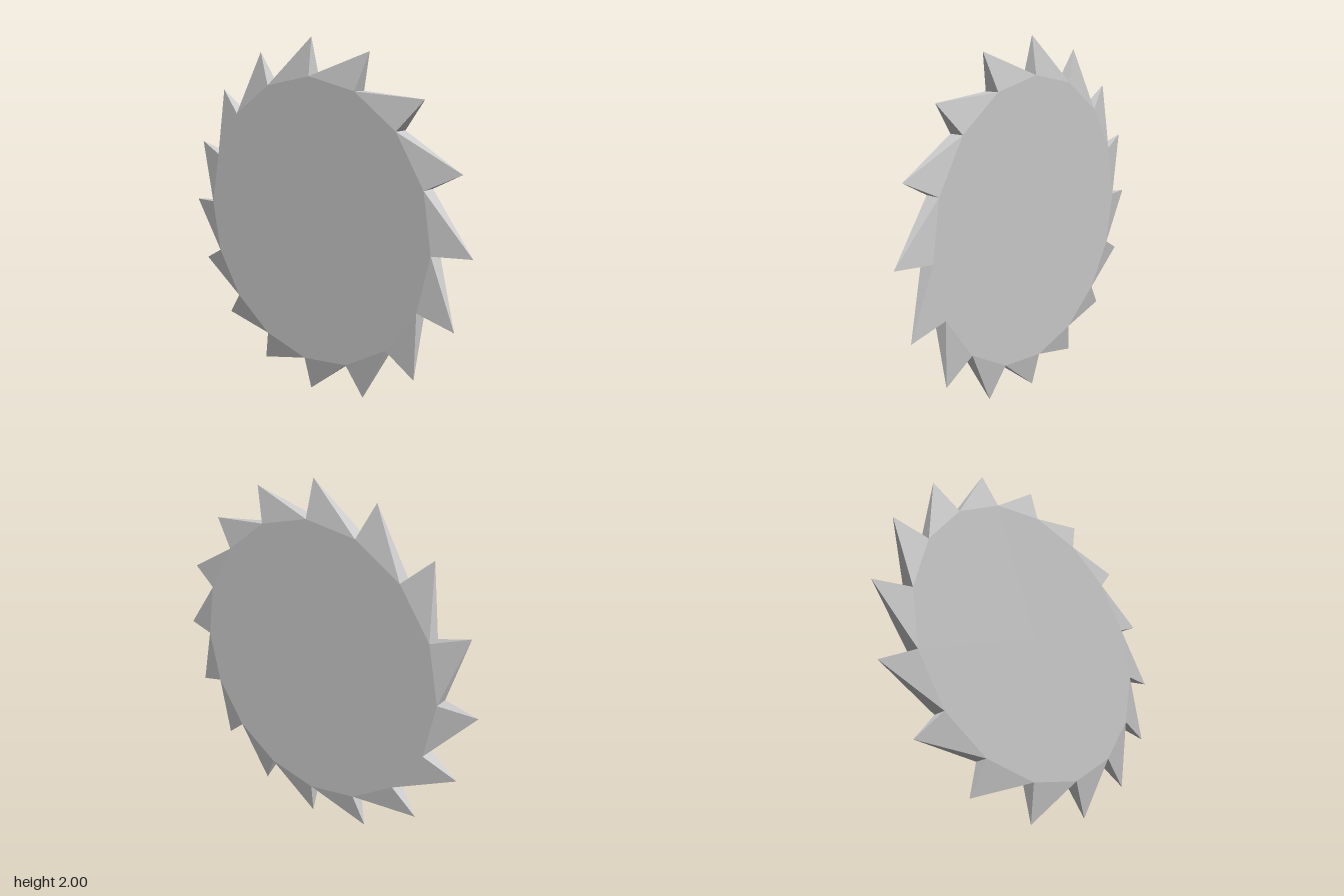
import * as THREE from 'three';

const TEETH = 16;
const ROOT = 0.8;   // radius at the tooth roots
const TIP = 1;      // radius at the tooth tips
const HALF = 0.04;  // half the blade thickness
const STEP = (Math.PI * 2) / TEETH;
const LEAD = THREE.MathUtils.degToRad(-1.2); // root angle just ahead of each tip

// One raked tooth: a four-sided pyramid on the rim whose apex is the tip on the mid plane.
function toothGeometry() {
  const at = (angle, z) => [ROOT * Math.cos(angle), ROOT * Math.sin(angle), z];
  const leadFront = at(LEAD, HALF), leadBack = at(LEAD, -HALF);
  const trailFront = at(LEAD + STEP, HALF), trailBack = at(LEAD + STEP, -HALF);
  const tip = [TIP, 0, 0];
  const faces = [
    leadFront, tip, trailFront,
    trailBack, tip, leadBack,
    leadFront, leadBack, tip,
    trailBack, trailFront, tip,
  ];
  const geometry = new THREE.BufferGeometry();
  geometry.setAttribute('position', new THREE.Float32BufferAttribute(faces.flat(), 3));
  geometry.computeVertexNormals();
  return geometry;
}

export function createModel() {
  const model = new THREE.Group();
  model.name = 'sawBlade';
  const material = new THREE.MeshStandardMaterial({ color: 0xcccccc, flatShading: true });

  // Flat sixteen-sided faces of the disc
  const front = new THREE.Mesh(new THREE.CircleGeometry(ROOT, TEETH, LEAD), material);
  front.name = 'discFront';
  front.position.set(0, 1, HALF);
  const back = new THREE.Mesh(new THREE.CircleGeometry(ROOT, TEETH, -LEAD), material);
  back.name = 'discBack';
  back.position.set(0, 1, -HALF);
  back.rotation.y = Math.PI;
  model.add(front, back);

  // Ring of teeth closing the rim
  const teeth = new THREE.Group();
  teeth.name = 'teeth';
  teeth.position.y = 1;
  const geometry = toothGeometry();
  for (let i = 0; i < TEETH; i++) {
    const tooth = new THREE.Mesh(geometry, material);
    tooth.name = `tooth${i + 1}`;
    tooth.rotation.z = i * STEP;
    teeth.add(tooth);
  }
  model.add(teeth);
  return model;
}
